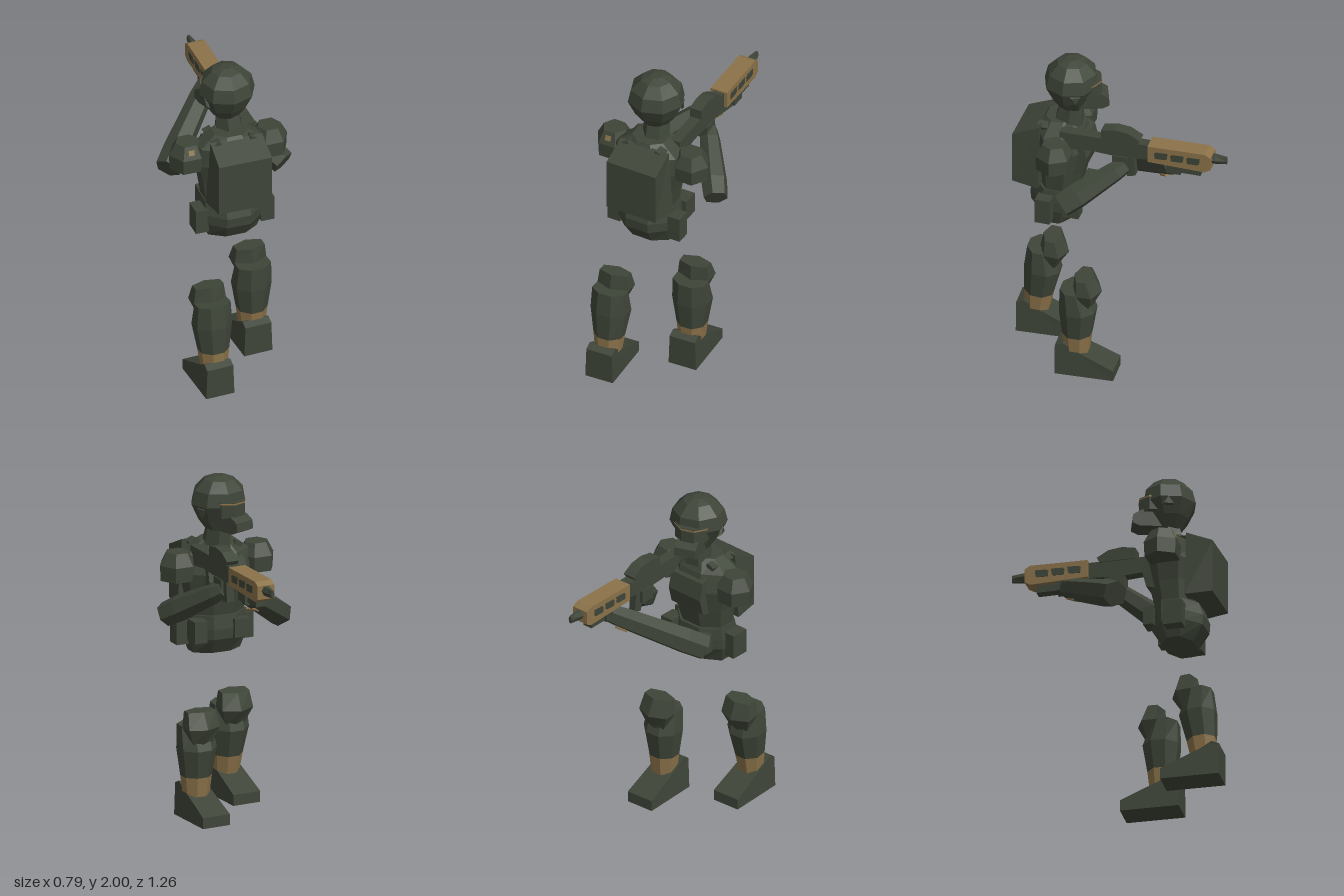
import * as THREE from 'three';

const mat = (name, color) => Object.assign(new THREE.MeshStandardMaterial({ color, flatShading: true }), { name });

// Closed faceted body from elliptical rings [y, cx, cz, rx, rz]
function loft(rings, n, phase = 0) {
  const pos = [];
  const pt = (r, j) => {
    const t = phase + (j / n) * Math.PI * 2;
    return [r[1] + r[3] * Math.cos(t), r[0], r[2] + r[4] * Math.sin(t)];
  };
  const first = rings[0], last = rings[rings.length - 1];
  for (let j = 0; j < n; j++) {
    for (let i = 0; i < rings.length - 1; i++) {
      const a = pt(rings[i], j), b = pt(rings[i], j + 1);
      const c = pt(rings[i + 1], j), d = pt(rings[i + 1], j + 1);
      pos.push(...a, ...c, ...b, ...b, ...c, ...d);
    }
    pos.push(first[1], first[0], first[2], ...pt(first, j), ...pt(first, j + 1));
    pos.push(last[1], last[0], last[2], ...pt(last, j + 1), ...pt(last, j));
  }
  const g = new THREE.BufferGeometry();
  g.setAttribute('position', new THREE.Float32BufferAttribute(pos, 3));
  g.computeVertexNormals();
  return g;
}

// Side profile of [z, y] points extruded across x
function sideExtrude(points, width) {
  const shape = new THREE.Shape(points.map(([z, y]) => new THREE.Vector2(-z, y)));
  return new THREE.ExtrudeGeometry(shape, { depth: width, bevelEnabled: false })
    .translate(0, 0, -width / 2).rotateY(Math.PI / 2);
}

export function createModel() {
  const green = mat('darkGreen', 0x3e4538);
  const tan = mat('tan', 0x8b7249);
  const model = new THREE.Group();
  model.name = 'rifleman';

  const add = (parent, name, geo, m = green) => {
    const mesh = new THREE.Mesh(geo, m);
    mesh.name = name;
    parent.add(mesh);
    return mesh;
  };
  const box = (parent, name, size, at, m = green) => {
    const mesh = add(parent, name, new THREE.BoxGeometry(...size), m);
    mesh.position.set(...at);
    return mesh;
  };
  const group = (name, x, z, turn) => {
    const g = new THREE.Group();
    g.name = name;
    g.position.set(x, 0, z);
    g.rotation.y = turn;
    model.add(g);
    return g;
  };

  // Torso and hips, turned slightly
  const body = group('body', -0.05, 0.35, -0.2);
  add(body, 'hips', loft([
    [0.945, 0, 0.01, 0.16, 0.1], [1.04, 0, 0.01, 0.19, 0.165],
    [1.1, 0, 0.01, 0.19, 0.17], [1.18, 0, 0, 0.18, 0.15],
  ], 8, Math.PI / 8));
  add(body, 'torso', loft([
    [1.15, 0, 0, 0.17, 0.125], [1.3, 0, -0.01, 0.19, 0.15], [1.43, 0, -0.01, 0.22, 0.17],
    [1.54, 0, 0, 0.21, 0.14], [1.61, 0, 0, 0.11, 0.09],
  ], 8, Math.PI / 8));
  add(body, 'chestPlate', sideExtrude([[-0.1, 1.28], [-0.16, 1.3], [-0.185, 1.4], [-0.16, 1.5], [-0.1, 1.53]], 0.24));
  for (const s of [-1, 1]) {
    // Shoulder guards
    const guard = add(body, s > 0 ? 'leftShoulder' : 'rightShoulder', loft([
      [1.4, 0, 0, 0.105, 0.105], [1.49, 0, 0, 0.11, 0.11], [1.565, 0, 0, 0.07, 0.07],
    ], 6));
    guard.position.set(s * 0.25, 0, s > 0 ? -0.03 : -0.025);
    if (s < 0) {
      const patch = box(guard, 'shoulderPatch', [0.035, 0.004, 0.03], [0, 1.53, 0.079], tan);
      patch.rotation.x = 1.138;
    }
    // Shoulder straps
    const strap = box(body, 'strap', [0.05, 0.025, 0.2], [s * 0.11, 1.58, 0.01]);
    strap.rotation.z = -s * 0.4;
  }

  // Backpack with a chamfered rear
  const pack = add(body, 'backpack', new THREE.BoxGeometry(0.37, 0.4, 0.16));
  pack.position.set(0.01, 1.395, 0.165);
  const p = pack.geometry.attributes.position;
  for (let i = 0; i < p.count; i++) {
    if (p.getZ(i) > 0) {
      p.setX(i, p.getX(i) * 0.87);
      p.setY(i, p.getY(i) > 0 ? 0.13 : -0.19);
    } else if (p.getY(i) > 0) {
      p.setX(i, p.getX(i) * 0.85);
    }
  }
  pack.geometry.computeVertexNormals();

  // Belt pouches
  for (const [x, y, z, w, h, d] of [
    [0.2, 1.07, 0.045, 0.08, 0.155, 0.09], [-0.195, 1.065, 0.03, 0.08, 0.15, 0.11],
    [0.16, 1.1, -0.11, 0.08, 0.13, 0.1], [-0.1, 1.1, -0.14, 0.1, 0.11, 0.06],
  ]) box(body, 'pouch', [w, h, d], [x, y, z]);

  // Neck and head
  add(model, 'neck', loft([[1.57, -0.03, 0.31, 0.085, 0.095], [1.7, -0.03, 0.29, 0.075, 0.075]], 6));
  const head = group('head', -0.035, 0.29, 0.15);
  add(head, 'helmet', loft([
    [1.685, 0, 0, 0.08, 0.075], [1.75, 0, 0.01, 0.125, 0.11], [1.84, 0, 0.005, 0.168, 0.16],
    [1.92, 0, 0, 0.15, 0.145], [1.98, 0, 0, 0.09, 0.09], [2.0, 0, 0, 0.035, 0.035],
  ], 8, Math.PI / 8));
  add(head, 'faceMask', sideExtrude([[-0.02, 1.69], [-0.17, 1.69], [-0.212, 1.71], [-0.207, 1.76], [-0.16, 1.79], [-0.02, 1.79]], 0.13));
  add(head, 'goggles', loft([[1.78, 0, -0.08, 0.105, 0.095], [1.872, 0, -0.08, 0.105, 0.095]], 8, Math.PI / 8));
  add(head, 'goggleBand', loft([[1.859, 0, -0.08, 0.108, 0.098], [1.867, 0, -0.08, 0.108, 0.098]], 8, Math.PI / 8), tan);
  for (const s of [-1, 1]) {
    const ear = add(head, 'earCover', loft([[0, 0, 0, 0.045, 0.045], [0.012, 0, 0, 0.03, 0.03]], 3));
    ear.rotation.z = -s * Math.PI / 2;
    ear.position.set(s * 0.145, 1.81, -0.01);
  }

  // Forearms run from elbow to grip
  const limb = (name, from, to, radii) => {
    const a = new THREE.Vector3(...from), dir = new THREE.Vector3(...to).sub(a), len = dir.length();
    const mesh = add(model, name, loft(radii.map(([t, r]) => [t * len, 0, 0, r, r]), 6, 0.4));
    mesh.position.copy(a);
    mesh.quaternion.setFromUnitVectors(new THREE.Vector3(0, 1, 0), dir.normalize());
    return mesh;
  };
  limb('leftForearm', [0.33, 1.225, 0.315], [0.175, 1.43, -0.04], [[0, 0.072], [0.25, 0.078], [0.85, 0.06], [1, 0.048]]);
  const right = limb('rightForearm', [-0.25, 1.205, 0], [0.2, 1.46, -0.31], [[0, 0.077], [0.2, 0.08], [0.85, 0.066], [1, 0.056]]);

  // Wrist patch on the underside of the supporting arm
  const under = new THREE.Vector3(0.31, -0.82, -0.22).normalize().applyQuaternion(right.quaternion.clone().invert());
  const cuff = box(right, 'wristPatch', [0.055, 0.07, 0.009], [under.x * 0.062, 0.5, under.z * 0.062], tan);
  cuff.rotation.y = Math.atan2(under.x, under.z);

  // Rifle
  const rifle = group('rifle', 0.188, -0.18, -0.18);
  add(rifle, 'receiver', sideExtrude([
    [0.53, 1.48], [0.35, 1.5], [0.2, 1.49], [0, 1.5], [0, 1.595], [0.53, 1.595],
  ], 0.065));
  add(rifle, 'scope', sideExtrude([[0.28, 1.59], [0.07, 1.59], [0.05, 1.62], [0.12, 1.66], [0.2, 1.67], [0.28, 1.655]], 0.075));
  add(rifle, 'magazine', sideExtrude([[0.16, 1.5], [0.13, 1.36], [0.08, 1.37], [0.09, 1.5]], 0.045));
  add(rifle, 'handguard', sideExtrude([
    [0, 1.5], [0, 1.605], [-0.34, 1.61], [-0.375, 1.59], [-0.375, 1.51], [-0.34, 1.49],
  ], 0.106), tan);
  for (const s of [-1, 1]) {
    for (let i = 0; i < 3; i++) {
      add(rifle, 'handguardSlot', sideExtrude([
        [0.036, 1.53], [0.04, 1.565], [0.028, 1.574], [-0.04, 1.576], [-0.036, 1.54], [-0.026, 1.532],
      ], 0.005)).position.set(s * 0.053, 0, -0.08 - i * 0.096);
    }
  }
  const muzzle = add(rifle, 'muzzle', loft([[0, 0, 0, 0.03, 0.03], [0.03, 0, 0, 0.026, 0.03], [0.095, 0, 0, 0.012, 0.025]], 6));
  muzzle.rotation.x = -Math.PI / 2;
  muzzle.position.set(0, 1.56, -0.365);
  box(rifle, 'foregrip', [0.06, 0.045, 0.16], [0, 1.468, -0.23]);
  box(rifle, 'rearHand', [0.08, 0.08, 0.09], [0, 1.455, 0.17]);
  box(rifle, 'frontHand', [0.09, 0.07, 0.09], [0, 1.475, -0.15]);

  // Lower legs: the right one stands further back and leans forward
  for (const [side, x, z, lean] of [['left', 0.165, 0.235, 0], ['right', -0.25, 0.5, -0.1]]) {
    const leg = group(side + 'Leg', x, z, -0.14);
    const shank = new THREE.Group();
    shank.name = side + 'Shank';
    shank.position.y = 0.2;
    shank.rotation.x = lean;
    leg.add(shank);
    add(shank, 'shin', loft([
      [0.055, 0, 0.005, 0.092, 0.089], [0.22, 0, 0, 0.118, 0.112], [0.36, 0, 0.025, 0.108, 0.08],
    ], 8, Math.PI / 8));
    add(shank, 'ankle', loft([[-0.06, 0, 0.005, 0.078, 0.075], [0.055, 0, 0.005, 0.092, 0.089]], 8, Math.PI / 8), tan);
    add(shank, 'kneePad', loft([
      [0.26, 0, -0.06, 0.07, 0.03], [0.355, 0, -0.055, 0.115, 0.085], [0.45, 0, -0.035, 0.1, 0.055],
    ], 6, Math.PI / 6));
    // Boot narrows over the instep
    const boot = add(leg, 'boot', sideExtrude([
      [0.12, 0], [0.12, 0.19], [0.075, 0.21], [0.01, 0.17], [-0.225, 0.065], [-0.225, 0],
    ], 0.175));
    boot.position.x = -0.007;
    const b = boot.geometry.attributes.position;
    for (let i = 0; i < b.count; i++) {
      if (b.getY(i) > 0.08) b.setX(i, b.getX(i) * 0.92);
    }
    boot.geometry.computeVertexNormals();
  }
  return model;
}
